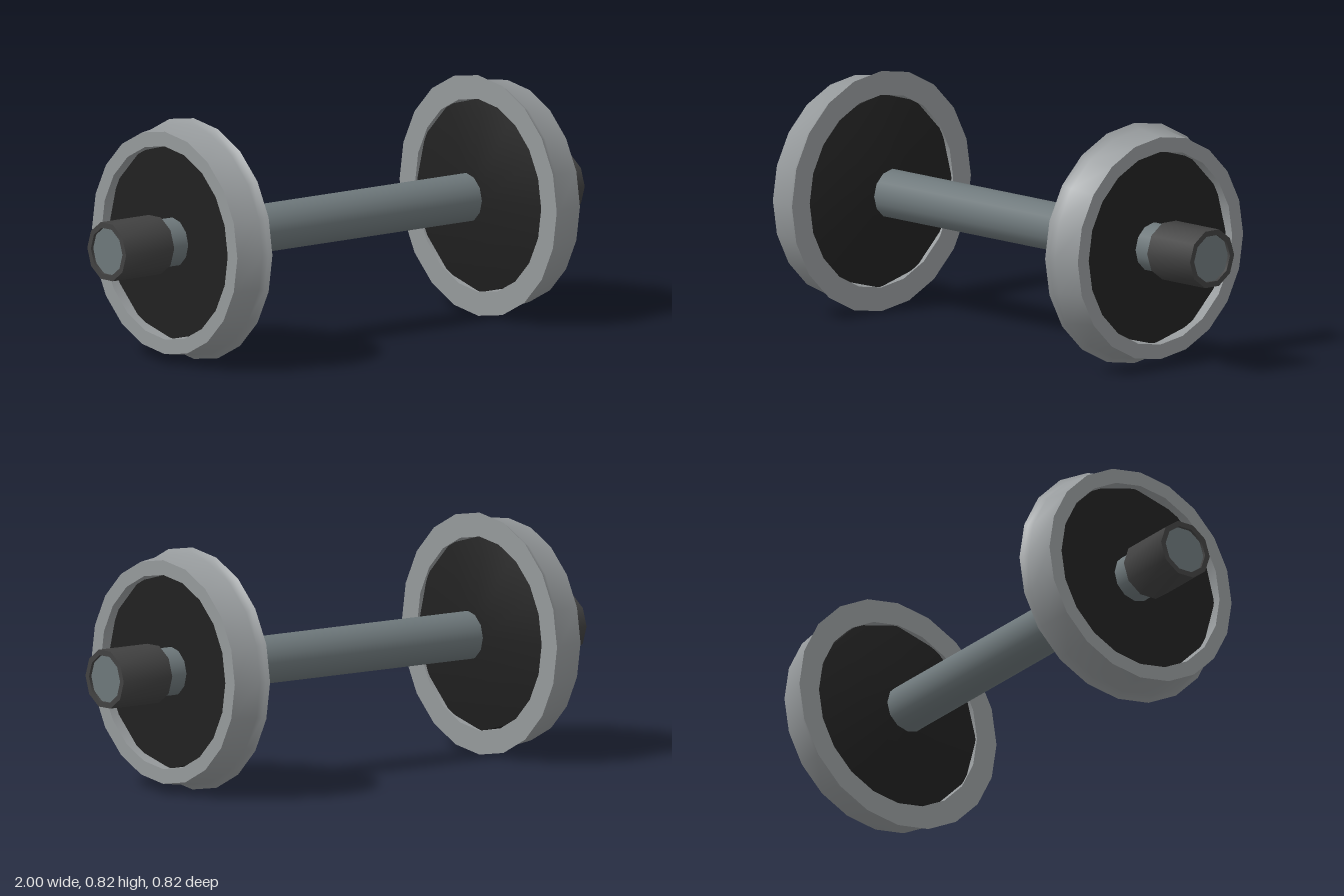
import * as THREE from 'three';
import { toCreasedNormals } from 'three/addons/utils/BufferGeometryUtils.js';

const AXLE_HEIGHT = 0.409;

// Closed ring turned about the x axis; profile is [x, radius] pairs,
// outer surface first (x increasing), then back along the bore.
function turned(profile, sides) {
  const points = [...profile, profile[0]].map(([x, r]) => new THREE.Vector2(r, x));
  const geometry = new THREE.LatheGeometry(points, sides);
  geometry.rotateZ(-Math.PI / 2);
  return toCreasedNormals(geometry, 0.72);
}

function part(name, geometry, material) {
  const mesh = new THREE.Mesh(geometry, material);
  mesh.name = name;
  return mesh;
}

function flat(name, color) {
  const material = new THREE.MeshStandardMaterial({ color });
  material.name = name;
  return material;
}

export function createModel() {
  const tyreSteel = flat('tyreSteel', 0x95999b);
  const axleSteel = flat('axleSteel', 0x6d777a);
  const bearingGrey = flat('bearingGrey', 0x414141);
  const discBlack = flat('discBlack', 0x212121);

  const model = new THREE.Group();
  model.name = 'wheelset';

  // Axle running through both wheels
  const axleGeometry = new THREE.CylinderGeometry(0.081, 0.081, 1.98, 20);
  axleGeometry.rotateZ(-Math.PI / 2);
  const axle = part('axle', axleGeometry, axleSteel);
  axle.position.y = AXLE_HEIGHT;
  model.add(axle);

  // Flanged tyre: flange on the inner side, tapered tread
  const tyreGeometry = turned([
    [0.62, 0.409], [0.631, 0.4], [0.648, 0.391], [0.747, 0.378],
    [0.747, 0.328], [0.62, 0.328],
  ], 20);

  // Wheel disc: flat outside, conical towards the middle of the axle
  const discGeometry = turned([
    [0.566, 0.088], [0.629, 0.33], [0.715, 0.33], [0.715, 0.084], [0.566, 0.084],
  ], 12);

  // Bearing sleeve on the axle end
  const bearingGeometry = turned([
    [0.79, 0.101], [1, 0.101], [1, 0.082], [0.79, 0.082],
  ], 10);

  // Same assembly at both ends, turned around for the right side
  for (const [side, angle] of [['left', 0], ['right', Math.PI]]) {
    const end = new THREE.Group();
    end.name = `${side}Wheel`;
    end.add(
      part('tyre', tyreGeometry, tyreSteel),
      part('disc', discGeometry, discBlack),
      part('bearing', bearingGeometry, bearingGrey),
    );
    end.position.y = AXLE_HEIGHT;
    end.rotation.y = angle;
    model.add(end);
  }
  return model;
}
